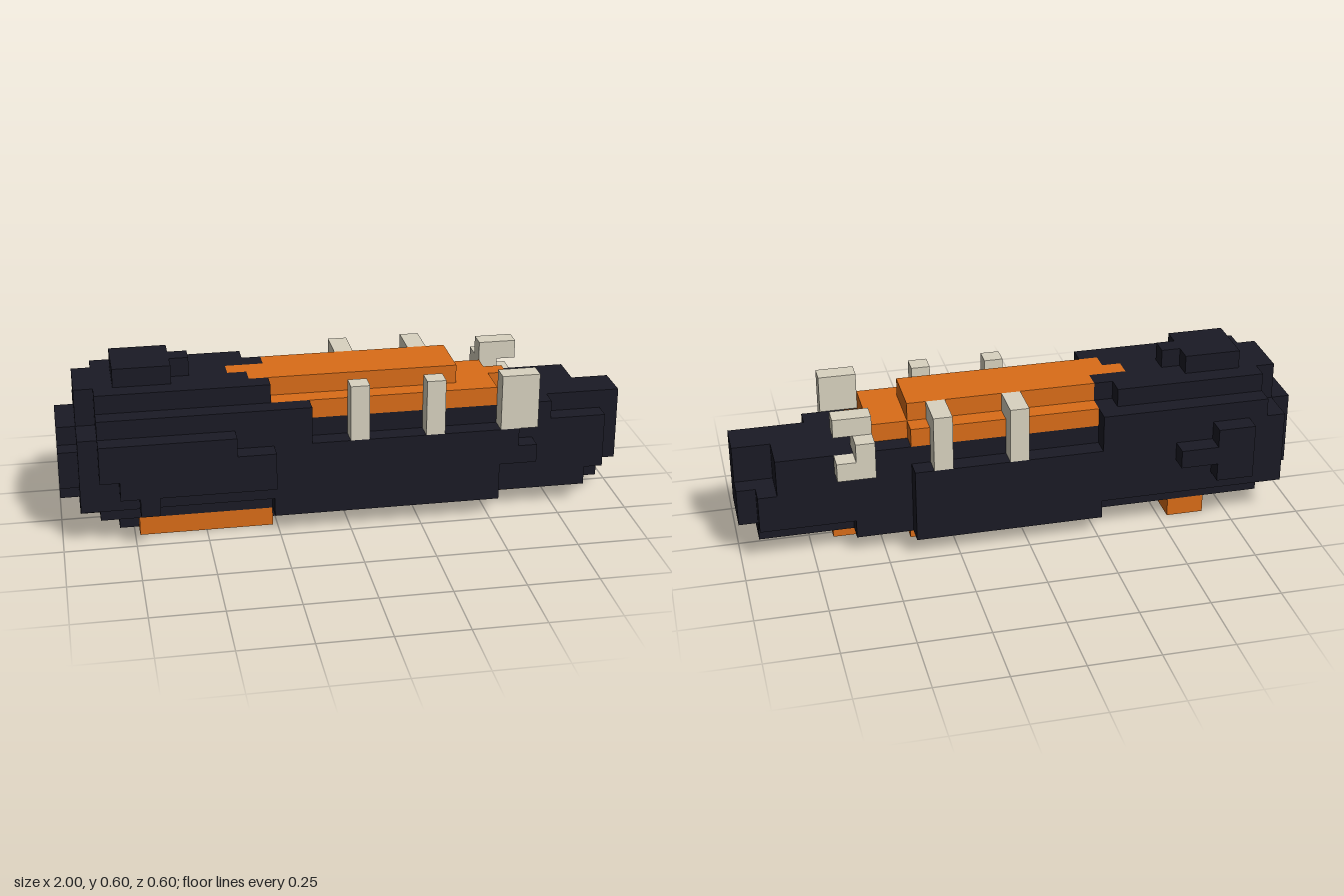
import * as THREE from 'three';

const U = 1 / 15; // one block

export function createModel() {
  const model = new THREE.Group();
  const mat = (name, color) => {
    const m = new THREE.MeshStandardMaterial({ color });
    m.name = name;
    return m;
  };
  const dark = mat('charcoal', 0x1a1a25);
  const orange = mat('orange', 0xda6d18);
  const cream = mat('cream', 0xd9d3c0);

  // each box: x0, x1, y0, y1, z0, z1 in blocks; z runs 0 (back) to 9 (front)
  function part(name, material, boxes) {
    const group = new THREE.Group();
    group.name = name;
    for (const [x0, x1, y0, y1, z0, z1] of boxes) {
      const geo = new THREE.BoxGeometry((x1 - x0) * U, (y1 - y0) * U, (z1 - z0) * U);
      const mesh = new THREE.Mesh(geo, material);
      mesh.name = name + 'Block';
      mesh.position.set((x0 + x1) / 2 * U, (y0 + y1) / 2 * U, ((z0 + z1) / 2 - 4.5) * U);
      group.add(mesh);
    }
    model.add(group);
  }

  // long body with stepped ends
  part('hull', dark, [
    [-13, 6, 2, 5, 1, 8],
    [6, 8, 2, 5, 2, 8],
    [8, 10, 3, 4, 2, 8],
    [8, 9, 4, 5, 2, 8],
    [8, 13, 2, 5, 2, 7],
    [-4, 6, 1, 2, 1, 8],
    [6, 8, 1, 2, 2, 8],
    [-13, -4, 1, 2, 2, 7],
    [8, 9, 1, 2, 2, 7],
    [9, 13, 1, 2, 3, 7],
    [-4, 11, 5, 6, 2, 7],
    [11, 13, 5, 6, 2, 6],
  ]);
  part('noseCap', dark, [
    [13, 14, 1, 2, 3, 6],
    [13, 14, 2, 4, 2, 7],
    [13, 14, 4, 5, 4, 7],
    [13, 14, 5, 6, 4, 6],
    [14, 15, 2, 4, 3, 6],
    [14, 15, 4, 6, 4, 6],
  ]);
  part('rearCap', dark, [
    [-14, -13, 2, 6, 1, 8],
    [-14, -13, 1, 8, 3, 6],
    [-15, -14, 2, 6, 3, 6],
    [-15, -14, 3, 5, 6, 7],
  ]);

  // raised rear section, notched for the deck tip
  part('rearHump', dark, [
    [-13, -4, 5, 7, 1, 8],
    [-13, -6, 7, 8, 2, 7],
    [-6, -5, 7, 8, 2, 4],
    [-5, -4, 7, 8, 3, 4],
    [-6, -5, 7, 8, 5, 7],
    [-5, -4, 7, 8, 6, 7],
    [-4, -2, 5, 7, 7, 8],
    [-12, -9, 8, 9, 3, 6],
    [-9, -8, 8, 9, 4, 5],
  ]);

  // plates on the two flanks
  part('frontSidePanel', dark, [
    [-12, -4, 3, 5, 8, 9],
    [-13, -6, 5, 6, 8, 9],
    [-13, -12, 4, 5, 8, 9],
    [-11, -10, 2, 3, 8, 9],
  ]);
  part('backSidePanel', dark, [
    [-12, -10, 3, 6, 0, 1],
    [-10, -8, 4, 5, 0, 1],
  ]);

  // orange deck with pointed ends
  part('deck', orange, [
    [-4, 6, 6, 7, 2, 7],
    [6, 8, 6, 7, 3, 7],
    [8, 9, 6, 7, 4, 5],
    [-4, 6, 7, 8, 3, 6],
    [-5, -4, 7, 8, 4, 6],
    [-6, -5, 7, 8, 4, 5],
  ]);

  // keel and the staggered runners beside it
  part('keel', dark, [
    [-12, 6, 0, 1, 4, 5],
    [-12, 2, 0, 1, 5, 6],
  ]);
  part('runner', orange, [
    [-11, -4, 0, 1, 6, 7],
    [2, 8, 0, 1, 5, 6],
    [6, 10, 0, 1, 4, 5],
    [-1, 6, 0, 1, 3, 4],
    [-10, -8, 0, 1, 2, 4],
  ]);

  // upright posts along both sides
  part('frontPost', cream, [
    [0, 1, 5, 8, 7, 8],
    [4, 5, 5, 8, 7, 8],
    [8, 10, 5, 8, 7, 8],
  ]);
  part('backPost', cream, [
    [0, 1, 5, 8, 1, 3],
    [4, 5, 5, 8, 1, 3],
    [8, 10, 7, 8, 2, 3],
    [8, 9, 6, 7, 1, 3],
    [8, 10, 5, 6, 1, 2],
  ]);

  return model;
}
